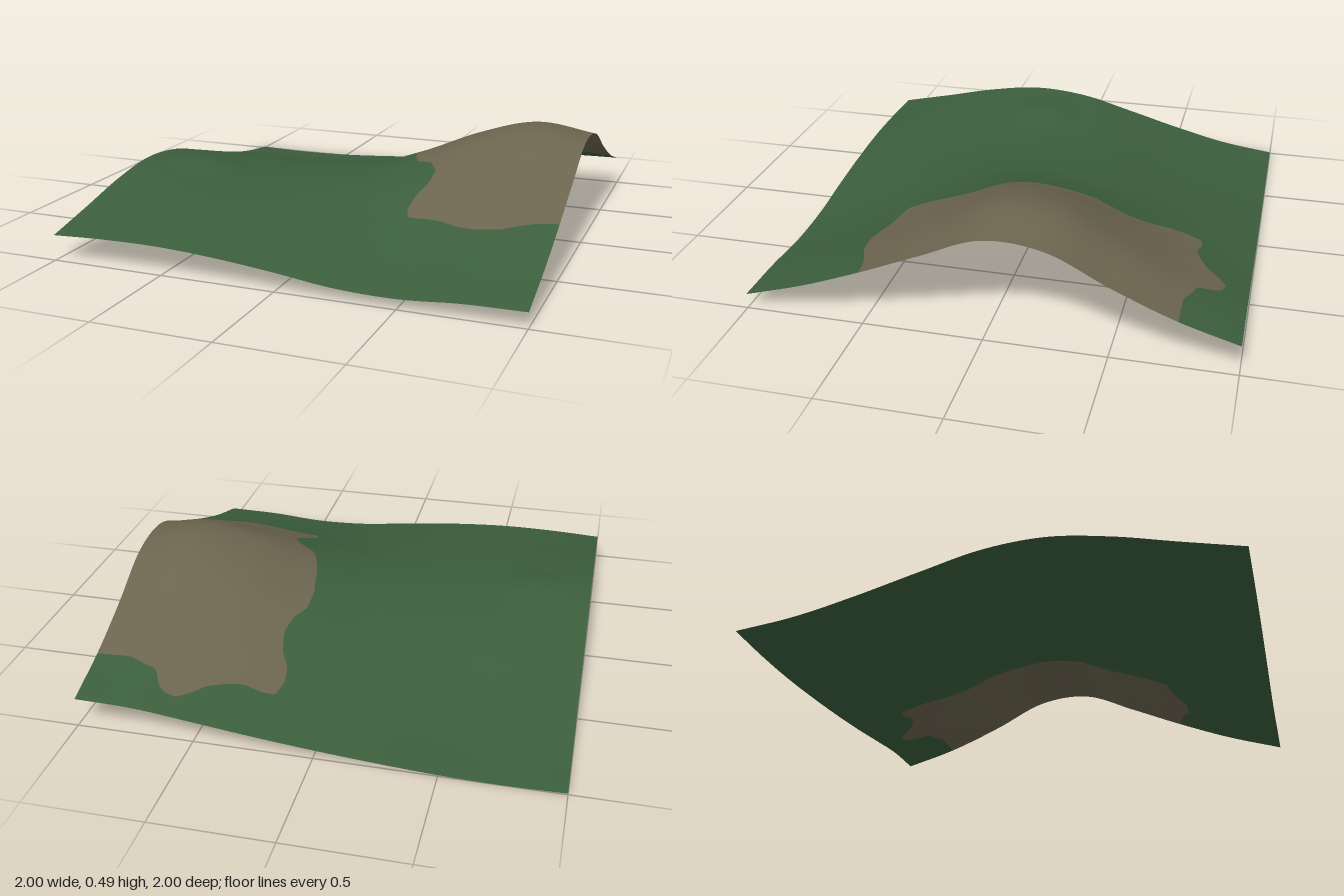
import * as THREE from 'three';

// Ground heights on a 9 x 9 lattice: one row per x from -1 to 1, each running z = -1 to 1
const HEIGHTS = [
  [0.005, 0.04, 0.1, 0.17, 0.235, 0.255, 0.222, 0.165, 0.11],
  [0.0, 0.038, 0.095, 0.168, 0.218, 0.232, 0.207, 0.162, 0.12],
  [0.005, 0.038, 0.095, 0.168, 0.205, 0.212, 0.195, 0.157, 0.12],
  [0.02, 0.06, 0.115, 0.18, 0.212, 0.212, 0.187, 0.147, 0.105],
  [0.04, 0.09, 0.15, 0.21, 0.245, 0.235, 0.19, 0.135, 0.08],
  [0.065, 0.125, 0.205, 0.288, 0.325, 0.28, 0.195, 0.118, 0.05],
  [0.095, 0.172, 0.28, 0.395, 0.42, 0.33, 0.215, 0.12, 0.043],
  [0.123, 0.212, 0.335, 0.462, 0.478, 0.36, 0.237, 0.14, 0.06],
  [0.13, 0.205, 0.31, 0.43, 0.447, 0.345, 0.238, 0.142, 0.065],
];

// Outline of the bare earth patch as x, z pairs; it runs past the +x edge
const PATCH = [
  [1.2, -0.76], [1, -0.76], [0.85, -0.76], [0.77, -0.79], [0.72, -0.8], [0.69, -0.86], [0.66, -0.895],
  [0.6, -0.905], [0.55, -0.87], [0.5, -0.82], [0.42, -0.78], [0.35, -0.76], [0.28, -0.775], [0.22, -0.77],
  [0.2, -0.7], [0.21, -0.62], [0.25, -0.55], [0.27, -0.45], [0.25, -0.37], [0.21, -0.3], [0.205, -0.2],
  [0.23, -0.05], [0.26, 0.05], [0.29, 0.11], [0.36, 0.15], [0.405, 0.22], [0.4, 0.3], [0.37, 0.38],
  [0.36, 0.46], [0.38, 0.515], [0.45, 0.52], [0.52, 0.53], [0.6, 0.56], [0.68, 0.575], [0.78, 0.565],
  [0.86, 0.53], [0.92, 0.51], [1, 0.5], [1.2, 0.5],
];

// Smooth interpolation along one evenly spaced row, extended straight at its ends
function spline(row, t) {
  const n = row.length - 1;
  const u = THREE.MathUtils.clamp((t + 1) / 2, 0, 1) * n;
  const i = Math.min(Math.floor(u), n - 1), f = u - i;
  const b = row[i], c = row[i + 1];
  const a = i > 0 ? row[i - 1] : 2 * b - c;
  const d = i < n - 1 ? row[i + 2] : 2 * c - b;
  return b + 0.5 * f * (c - a + f * (2 * a - 5 * b + 4 * c - d + f * (3 * (b - c) + d - a)));
}

// Rolling ground plus one small knoll
function height(x, z) {
  const base = spline(HEIGHTS.map((row) => spline(row, z)), x);
  const r = Math.min(1, Math.hypot(x + 0.74, z - 0.16) / 0.21);
  return Math.max(0, base + 0.025 * (1 - r * r) ** 2);
}

// Signed distance to the patch outline, positive inside
function patchDistance(x, z) {
  let best = Infinity, inside = false;
  PATCH.forEach(([ax, az], i) => {
    const [bx, bz] = PATCH[(i + 1) % PATCH.length];
    const ex = bx - ax, ez = bz - az;
    const t = THREE.MathUtils.clamp(((x - ax) * ex + (z - az) * ez) / (ex * ex + ez * ez), 0, 1);
    best = Math.min(best, Math.hypot(x - ax - t * ex, z - az - t * ez));
    if ((az > z) !== (bz > z) && x < ax + ((z - az) / ez) * ex) inside = !inside;
  });
  return inside ? best : -best;
}

// Keep the part of a triangle where sign * distance is positive
function clip(tri, sign) {
  const out = [];
  tri.forEach((p, i) => {
    const q = tri[(i + 1) % 3];
    const dp = sign * p.d, dq = sign * q.d;
    if (dp >= 0) out.push(p);
    if ((dp > 0 && dq < 0) || (dp < 0 && dq > 0)) {
      const t = dp / (dp - dq);
      const x = p.x + t * (q.x - p.x), z = p.z + t * (q.z - p.z);
      out.push({ x, z, y: p.y + t * (q.y - p.y) });
    }
  });
  return out;
}

function buildSurface(triangles, sign) {
  const positions = [], normals = [], e = 0.01;
  const normal = new THREE.Vector3();
  const slope = (f, t) => {
    const lo = Math.max(-1, t - e), hi = Math.min(1, t + e);
    return (f(hi) - f(lo)) / (hi - lo);
  };
  const add = ({ x, y, z }) => {
    positions.push(x, y, z);
    normal.set(-slope((t) => height(t, z), x), 1, -slope((t) => height(x, t), z)).normalize();
    normals.push(normal.x, normal.y, normal.z);
  };
  for (const tri of triangles) {
    const poly = clip(tri, sign);
    for (let i = 1; i < poly.length - 1; i++) [poly[0], poly[i], poly[i + 1]].forEach(add);
  }
  const geometry = new THREE.BufferGeometry();
  geometry.setAttribute('position', new THREE.Float32BufferAttribute(positions, 3));
  geometry.setAttribute('normal', new THREE.Float32BufferAttribute(normals, 3));
  return geometry;
}

export function createModel() {
  const grass = new THREE.MeshStandardMaterial({ color: 0x3b5e3c, side: THREE.DoubleSide });
  grass.name = 'grass green';
  const earth = new THREE.MeshStandardMaterial({ color: 0x6b644e, side: THREE.DoubleSide });
  earth.name = 'earth brown';

  // Regular grid of ground points
  const N = 90, points = [];
  for (let i = 0; i <= N; i++) {
    for (let j = 0; j <= N; j++) {
      const x = -1 + (2 * i) / N, z = -1 + (2 * j) / N;
      points.push({ x, z, y: height(x, z), d: patchDistance(x, z) });
    }
  }
  const triangles = [];
  for (let i = 0; i < N; i++) {
    for (let j = 0; j < N; j++) {
      const k = i * (N + 1) + j;
      const a = points[k], b = points[k + 1], c = points[k + N + 2], d = points[k + N + 1];
      triangles.push([a, b, c], [a, c, d]);
    }
  }

  // Grass and bare hilltop share one surface, split along the patch outline
  const group = new THREE.Group();
  group.name = 'terrain';
  const grassMesh = new THREE.Mesh(buildSurface(triangles, -1), grass);
  grassMesh.name = 'grassland';
  const earthMesh = new THREE.Mesh(buildSurface(triangles, 1), earth);
  earthMesh.name = 'bareHill';
  group.add(grassMesh, earthMesh);
  return group;
}
